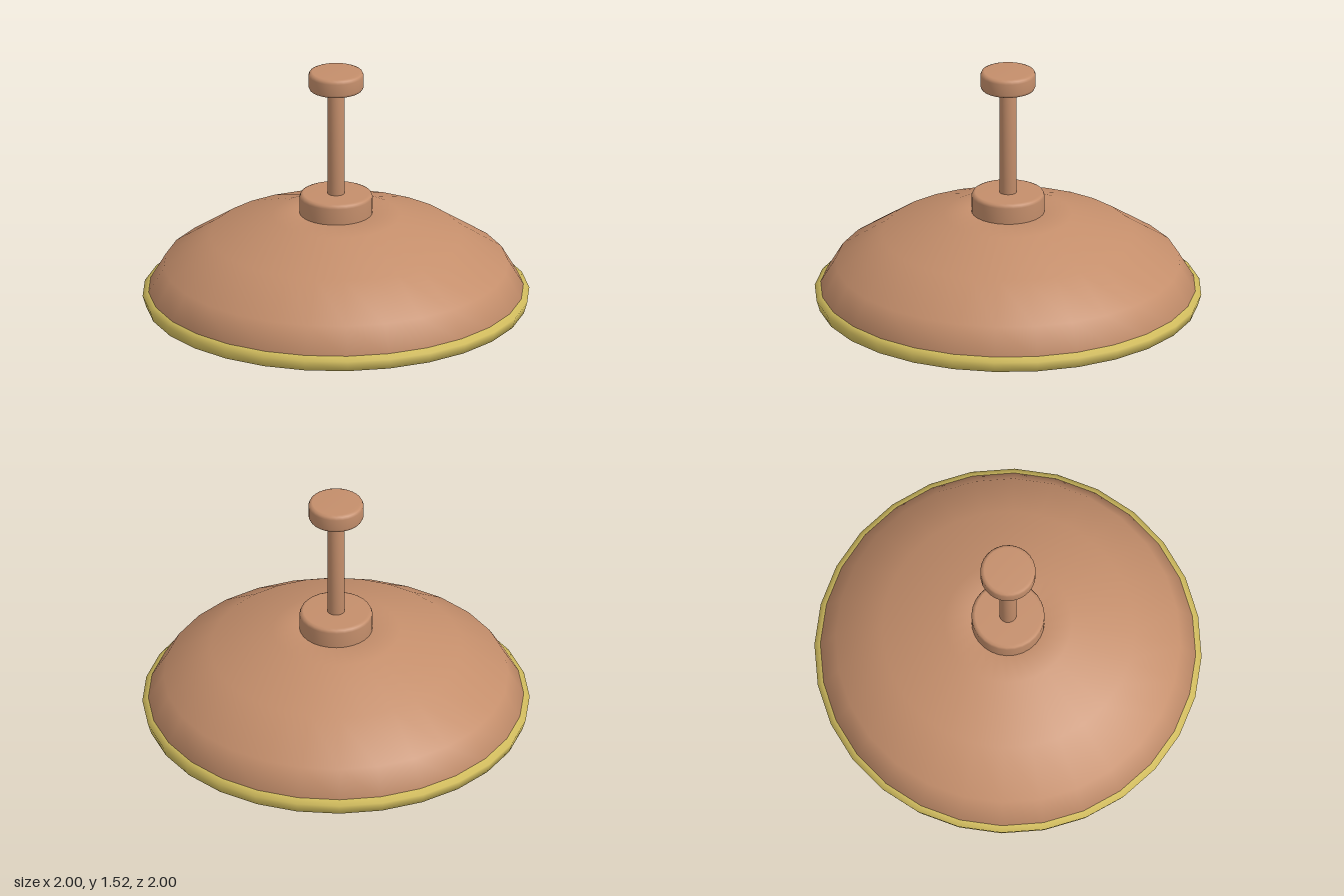
import * as THREE from 'three';

const copper = new THREE.MeshStandardMaterial({ color: 0xc48e6b, side: THREE.DoubleSide });
copper.name = 'copper';
const brass = new THREE.MeshStandardMaterial({ color: 0xdac462 });
brass.name = 'brass';
const glass = new THREE.MeshStandardMaterial({ color: 0xe4c9b5 });
glass.name = 'warmGlass';

const SIDES = 28;

// Spins [radius, height] pairs around the y axis
function lathe(pairs) {
  return new THREE.LatheGeometry(pairs.map(([r, y]) => new THREE.Vector2(r, y)), SIDES);
}

// Solid disc with chamfered, softly shaded top and bottom edges
function softDisc(radius, bottom, top, bevel) {
  return lathe([
    [0, bottom], [radius - bevel, bottom], [radius - bevel * 0.3, bottom + bevel * 0.3], [radius, bottom + bevel],
    [radius, top - bevel], [radius - bevel * 0.3, top - bevel * 0.3], [radius - bevel, top], [0, top],
  ]);
}

export function createModel() {
  const model = new THREE.Group();
  model.name = 'pendantLamp';

  function add(name, geometry, material) {
    const mesh = new THREE.Mesh(geometry, material);
    mesh.name = name;
    model.add(mesh);
    return mesh;
  }

  // Thin dome: lip turned in at the bottom, edge turned down at the neck
  add('shade', lathe([
    [0.925, 0.256], [0.977, 0.312], [0.89, 0.46], [0.65, 0.62], [0.33, 0.73], [0.187, 0.747],
    [0.17, 0.71],
  ]), copper);

  // Five-sided bead around the lower edge of the shade
  add('rim', lathe([
    [0.93, 0.31], [0.93, 0.25], [0.983, 0.248], [1.0, 0.305], [0.957, 0.333], [0.93, 0.31],
  ]), brass);

  // Collar passing through the shade, rod and ceiling mount
  add('collar', softDisc(0.189, 0.7, 0.853, 0.02), copper);
  add('rod', lathe([[0, 0.83], [0.045, 0.83], [0.045, 1.44], [0, 1.44]]), copper);
  add('ceilingMount', softDisc(0.143, 1.425, 1.525, 0.02), copper);

  // Globe bulb
  const bulb = add('bulb', new THREE.SphereGeometry(0.257, 32, 24), glass);
  bulb.position.y = 0.259;

  return model;
}
